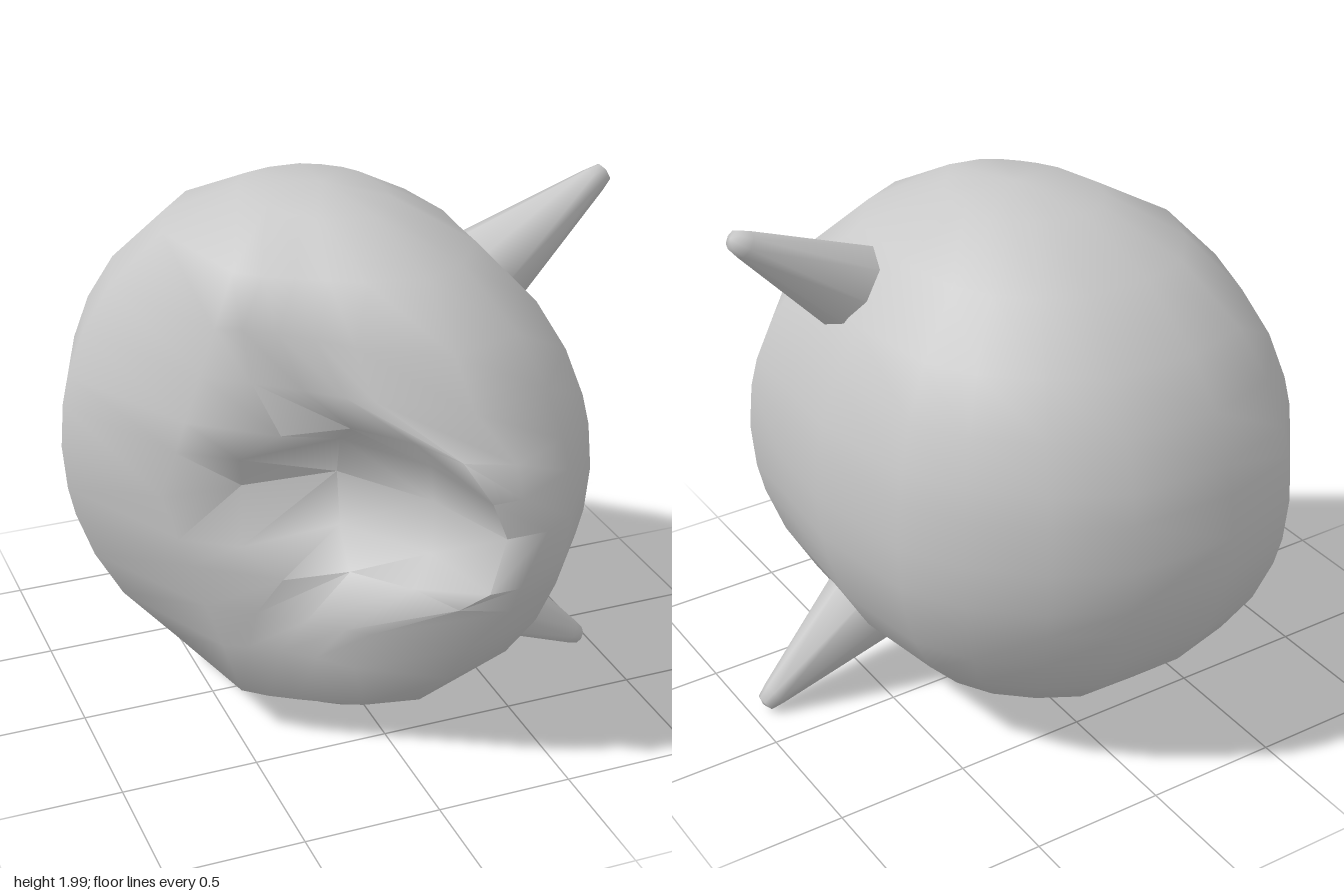
import * as THREE from 'three';
import { toCreasedNormals } from 'three/addons/utils/BufferGeometryUtils.js';

// Equator outline of the skull (x, z), from the jaw tip round the back to the brow
const OUTLINE = [
  [-0.96, -0.27], [-0.84, -0.62], [-0.6, -0.91], [-0.28, -1.0], [0.12, -0.99], [0.37, -0.85],
  [0.58, -0.66], [0.71, -0.44], [0.78, 0.0], [0.76, 0.3], [0.75, 0.57], [0.52, 0.87],
];

// Mouth sections by distance d from the middle plane: brow, lip, palate, throat, floor
const MOUTH = [
  { d: 0.0, p: [[0.4, 0.94], [0.25, 0.94], [0.13, 0.6], [-0.1, 0.27], [-0.45, 0.25]] },
  { d: 0.17, p: [[0.28, 0.99], [0.17, 0.99], [0.09, 0.66], [-0.12, 0.35], [-0.5, 0.38]] },
  { d: 0.28, p: [[0.27, 0.95], [0.11, 0.88], [0.02, 0.69], [-0.14, 0.5], [-0.38, 0.47]] },
  { d: 0.45, p: [[0.15, 0.87], [-0.12, 0.66], [-0.2, 0.6], [-0.31, 0.5], [-0.45, 0.38]] },
  { d: 0.62, p: [[0.12, 0.77], [-0.16, 0.59], [-0.26, 0.48], [-0.36, 0.39], [-0.46, 0.32]] },
  { d: 0.82, p: [[0.1, 0.58], [-0.1, 0.54], [-0.21, 0.48], [-0.31, 0.42], [-0.4, 0.36]] },
  { d: 0.96, p: [[0.02, 0.33], [-0.1, 0.31], [-0.16, 0.27], [-0.21, 0.22], [-0.25, 0.17]] },
];
const CENTRE_X = -0.09;

// One closed section of the head, shrunk like an ellipsoid away from the middle
function section({ d, p }, side) {
  const r = Math.sqrt(1 - d * d);
  const t = Math.min(d / 0.82, 1);
  const jaw = d > 0.9 ? [-0.29, 0.1] : [-0.74 + 0.26 * t, 0.24 + 0.05 * t];
  const shell = OUTLINE.map(([x, z]) => [CENTRE_X + (x - CENTRE_X) * r, z * r]);
  return [jaw, ...shell, ...p].map(([x, z]) => [x, 1 + side * d, z]);
}

function headGeometry() {
  const rings = [
    ...MOUTH.slice(1).reverse().map((m) => section(m, -1)),
    ...MOUTH.map((m) => section(m, 1)),
  ];
  const n = rings[0].length;
  const points = rings.flat();
  const index = [];
  for (let i = 0; i < rings.length - 1; i++) {
    for (let j = 0; j < n; j++) {
      const a = i * n + j, c = i * n + ((j + 1) % n);
      const b = a + n, e = c + n;
      // mirror the diagonals about the middle plane
      if (i < (rings.length - 1) / 2) index.push(a, b, c, b, e, c);
      else index.push(a, b, e, a, e, c);
    }
  }
  // close both ends with a fan
  const low = points.push([-0.06, 0.005, 0.02]) - 1;
  const high = points.push([-0.06, 1.995, 0.02]) - 1;
  const last = (rings.length - 1) * n;
  for (let j = 0; j < n; j++) {
    const k = (j + 1) % n;
    index.push(low, j, k, high, last + k, last + j);
  }
  const g = new THREE.BufferGeometry();
  g.setAttribute('position', new THREE.Float32BufferAttribute(points.flat(), 3));
  g.setIndex(index);
  return toCreasedNormals(g, 1.3);
}

export function createModel() {
  const model = new THREE.Group();
  const grey = new THREE.MeshStandardMaterial({ color: 0xc8c8c8 });
  grey.name = 'plainGrey';

  const head = new THREE.Mesh(headGeometry(), grey);
  head.name = 'head';
  model.add(head);

  // Blunt tapering horns, one on each side of the middle plane
  const profile = [[0, -0.1], [0.17, -0.1], [0.17, 0], [0.05, 0.51], [0.035, 0.56], [0, 0.57]];
  const hornShape = toCreasedNormals(
    new THREE.LatheGeometry(profile.map(([x, y]) => new THREE.Vector2(x, y)), 8), 1.2);
  for (const side of [1, -1]) {
    const horn = new THREE.Mesh(hornShape, grey);
    horn.name = side > 0 ? 'upperHorn' : 'lowerHorn';
    horn.position.set(0.48, 1 + side * 0.645, 0.19);
    const axis = new THREE.Vector3(0.43, side * 0.29, 0).normalize();
    horn.quaternion.setFromUnitVectors(new THREE.Vector3(0, 1, 0), axis);
    model.add(horn);
  }
  return model;
}
